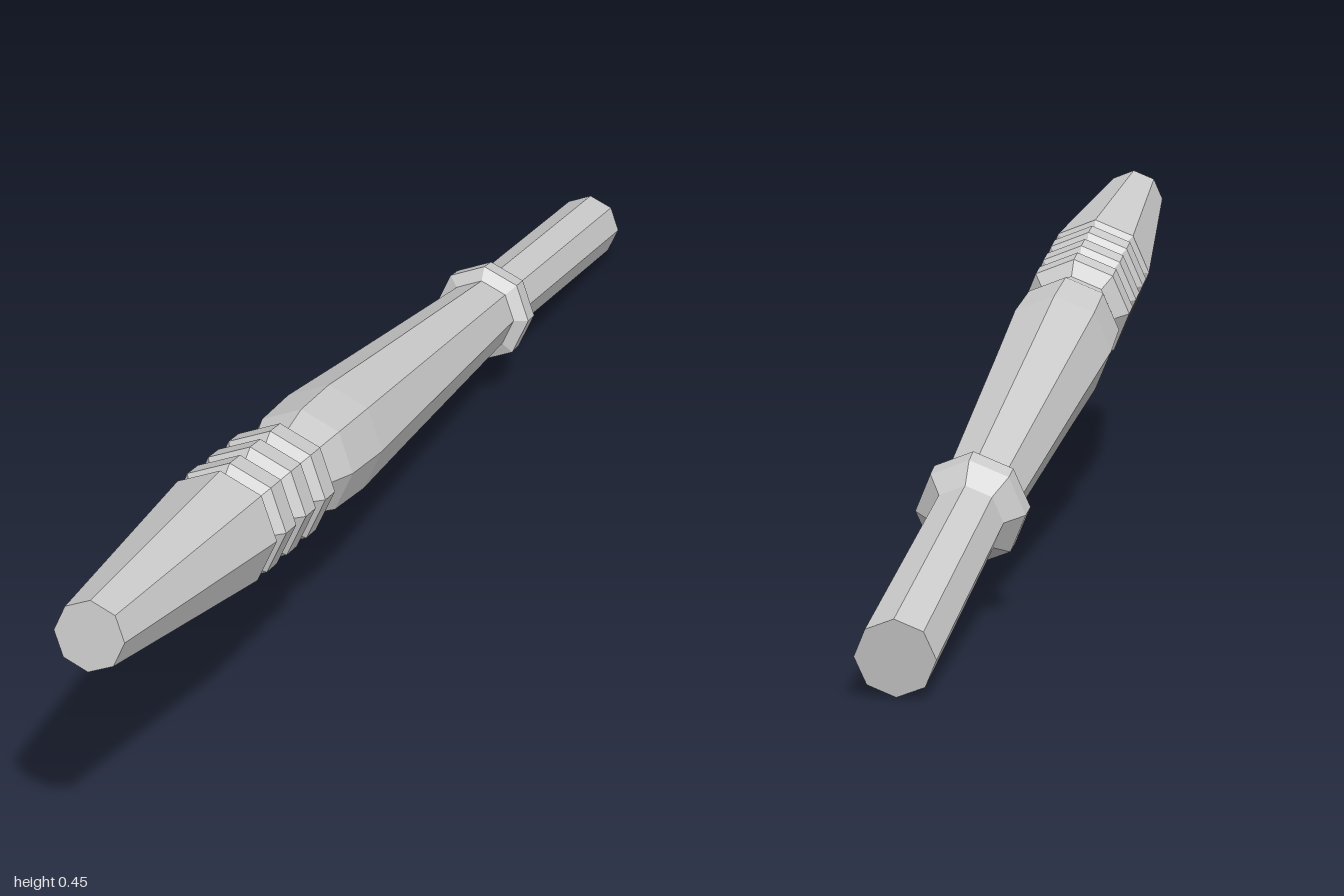
import * as THREE from 'three';

const SIDES = 8;
const material = new THREE.MeshStandardMaterial({ color: 0xcccccc, flatShading: true });

// Octagonal turned part; profile is [position along the axis, radius], back to front
function turned(name, profile) {
  const points = profile.map(([s, r]) => new THREE.Vector2(r, s));
  const geometry = new THREE.LatheGeometry(points, SIDES);
  geometry.rotateX(Math.PI / 2); // axis along z, one edge on top
  const mesh = new THREE.Mesh(geometry, material);
  mesh.name = name;
  return mesh;
}

export function createModel() {
  const model = new THREE.Group();
  model.name = 'turnedRod';

  // Centres of the two end caps
  const back = new THREE.Vector3(0.103, 0.052, -0.99);
  const front = new THREE.Vector3(-0.108, 0.401, 0.99);
  const axis = front.clone().sub(back);
  const half = axis.length() / 2;

  const rod = new THREE.Group();
  rod.name = 'rod';
  rod.position.copy(back).add(front).multiplyScalar(0.5);
  rod.quaternion.setFromUnitVectors(new THREE.Vector3(0, 0, 1), axis.normalize());
  model.add(rod);

  // Straight tail with a closed end
  rod.add(turned('tail', [[-half, 0], [-half, 0.051], [-0.532, 0.05]]));

  // Collar: tapered behind, flat in front
  rod.add(turned('collar', [
    [-0.532, 0.05], [-0.5, 0.074], [-0.468, 0.075], [-0.458, 0.055],
  ]));

  // Long swelling shaft
  rod.add(turned('shaft', [
    [-0.458, 0.055], [0.0, 0.074], [0.2, 0.083], [0.305, 0.079], [0.358, 0.064],
  ]));

  // Three bevelled rings separated by grooves
  const rings = [[0.358, 0.064]];
  for (let i = 0; i < 3; i++) {
    const s = 0.402 + i * 0.072;
    rings.push([s - 0.018, 0.083], [s + 0.018, 0.083], [s + 0.036, 0.068]);
  }
  rings.push([0.588, 0.068]);
  rod.add(turned('gripRings', rings));

  // Tapered front with a flat shoulder and a closed tip
  rod.add(turned('taperedTip', [[0.588, 0.068], [0.597, 0.083], [half, 0.047], [half, 0]]));

  return model;
}
